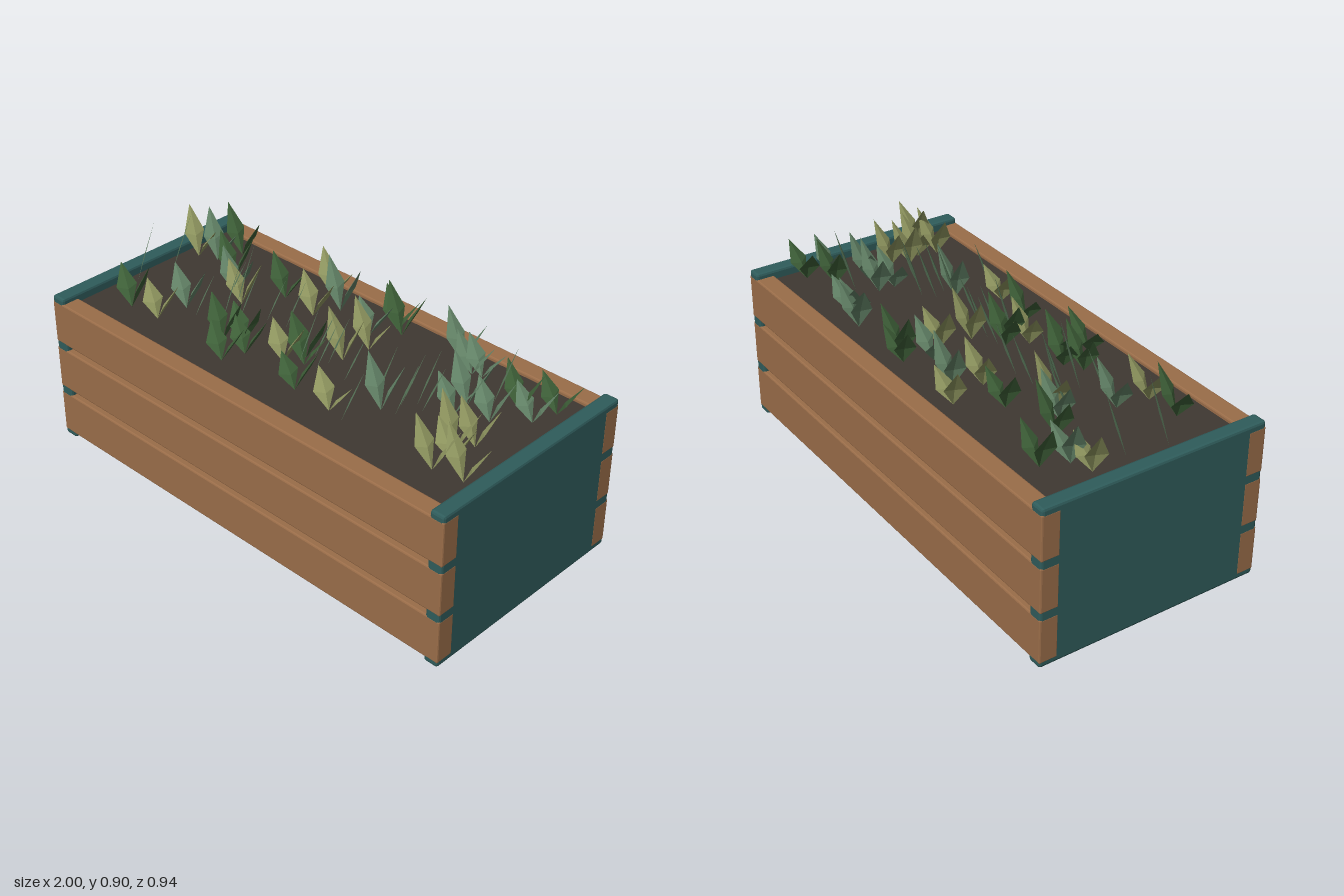
import * as THREE from 'three';
import { RoundedBoxGeometry } from 'three/addons/geometries/RoundedBoxGeometry.js';

const WOOD = 0x9a6d49, TEAL = 0x2f5c5b, SOIL = 0x3f3832;
const DARK = 0x40633a, SAGE = 0x66876a, OLIVE = 0x939a62, BLADE = 0x587659;
const SOIL_Y = 0.612;

// Plant positions on the soil, as x, z pairs grouped by leaf colour
const PLANTS = [
  [DARK, [-0.75, -0.32, -0.63, -0.16, -0.38, -0.2, 0.09, -0.33, 0.13, -0.31, 0.76, -0.23, 0.87, -0.3, -0.02, 0.05,
    0.01, 0.09, -0.26, 0.14, -0.33, 0.18, -0.2, 0.19, -0.23, 0.28, -0.76, 0.26, 0.1, 0.23]],
  [SAGE, [-0.79, -0.22, -0.55, -0.09, -0.16, -0.28, 0.04, -0.23, 0.41, -0.33, 0.49, -0.29, 0.53, -0.3, 0.84, -0.2,
    0.61, -0.12, 0.73, -0.1, 0.61, -0.05, -0.6, 0.12, 0.41, 0.11]],
  [OLIVE, [-0.87, -0.19, -0.47, -0.05, -0.26, -0.34, -0.21, -0.18, 0.11, -0.15, 0.09, -0.03, -0.06, 0.13, -0.62, 0.25,
    0.28, 0.24, 0.79, 0.05, 0.75, 0.11, 0.79, 0.17, 0.77, 0.25, 0.89, 0.23]],
];
const BLADES = [-0.83, -0.05, -0.86, 0.11, -0.5, 0.13, -0.5, -0.04, -0.44, -0.03, -0.4, 0.08, -0.36, 0.03, -0.28, -0.04,
  -0.19, -0.05, 0.02, 0.09, 0.03, 0.02, 0.09, 0.07, 0.1, 0.02, 0.22, 0.06, 0.38, 0.07, 0.38, 0.24, 0.47, 0.03,
  0.49, 0.08, 0.51, -0.01, 0.55, 0.01, 0.7, -0.2];

// Small seeded generator for natural variation
function seeded(seed) {
  return () => {
    seed = (seed * 16807) % 2147483647;
    return seed / 2147483647;
  };
}

function material(color, side = THREE.FrontSide) {
  return new THREE.MeshStandardMaterial({ color, flatShading: true, side });
}

function addBox(parent, name, size, position, color, bevel) {
  const geometry = bevel
    ? new RoundedBoxGeometry(...size, 1, bevel)
    : new THREE.BoxGeometry(...size);
  const mesh = new THREE.Mesh(geometry, material(color));
  mesh.name = name;
  mesh.position.set(...position);
  parent.add(mesh);
}

// Folded kite leaf: four facets meeting on a ridge, its lit side facing away from the lean
function pushLeaf(out, x, z, angle, height, lean, halfWidth) {
  const up = new THREE.Vector3(0, 1, 0);
  const dir = new THREE.Vector3(Math.cos(angle), 0, Math.sin(angle));
  const side = new THREE.Vector3().crossVectors(dir, up);
  const point = (t, s, lift) => new THREE.Vector3(x, SOIL_Y, z)
    .addScaledVector(up, t * height)
    .addScaledVector(dir, t * lean - lift)
    .addScaledVector(side, s);
  const base = point(0, 0, 0), tip = point(1, 0, 0);
  const a = point(0.48, halfWidth, 0), b = point(0.48, -halfWidth, 0);
  const ridge = point(0.42, 0, halfWidth * 0.3);
  for (const tri of [[base, a, ridge], [a, tip, ridge], [tip, b, ridge], [b, base, ridge]]) {
    tri.forEach((p) => out.push(p.x, p.y, p.z));
  }
}

function addLeaves(parent, name, positions, color, side) {
  const geometry = new THREE.BufferGeometry();
  geometry.setAttribute('position', new THREE.Float32BufferAttribute(positions, 3));
  geometry.computeVertexNormals();
  const mesh = new THREE.Mesh(geometry, material(color, side));
  mesh.name = name;
  parent.add(mesh);
}

export function createModel() {
  const model = new THREE.Group();
  model.name = 'planterBox';
  const rand = seeded(4211);

  // End panels
  for (const s of [-1, 1]) {
    addBox(model, s > 0 ? 'leftEndPanel' : 'rightEndPanel', [0.062, 0.65, 0.943], [s * 0.9685, 0.325, 0], TEAL, 0.01);
  }

  // Three slats on the front and the back
  for (const s of [-1, 1]) {
    [0.112, 0.323, 0.534].forEach((y, i) => {
      addBox(model, `${s > 0 ? 'front' : 'back'}Slat${i + 1}`, [2, 0.186, 0.077], [0, y, s * 0.4335], WOOD, 0.006);
    });
  }

  // Soil
  addBox(model, 'soil', [1.88, 0.02, 0.8], [0, SOIL_Y - 0.01, 0], SOIL);

  // Leaf pairs opening to both sides, all swept slightly towards the back
  const names = ['darkLeaves', 'sageLeaves', 'oliveLeaves'];
  PLANTS.forEach(([color, spots], k) => {
    const out = [];
    for (let i = 0; i < spots.length; i += 2) {
      for (const s of [-1, 1]) {
        const sweep = 0.3 + (rand() - 0.5) * 0.25;
        const angle = s > 0 ? -sweep : Math.PI + sweep;
        pushLeaf(out, spots[i], spots[i + 1] + 0.016, angle, 0.12 + rand() * 0.09, 0.085 + rand() * 0.015, 0.042);
      }
    }
    addLeaves(model, names[k], out, color, THREE.DoubleSide);
  });

  // Tall narrow blades
  const blades = [];
  for (let i = 0; i < BLADES.length; i += 2) {
    pushLeaf(blades, BLADES[i] - 0.03, BLADES[i + 1] + 0.025, -0.7, 0.18 + rand() * 0.11, 0.08, 0.012);
  }
  addLeaves(model, 'tallBlades', blades, BLADE, THREE.FrontSide);

  return model;
}
